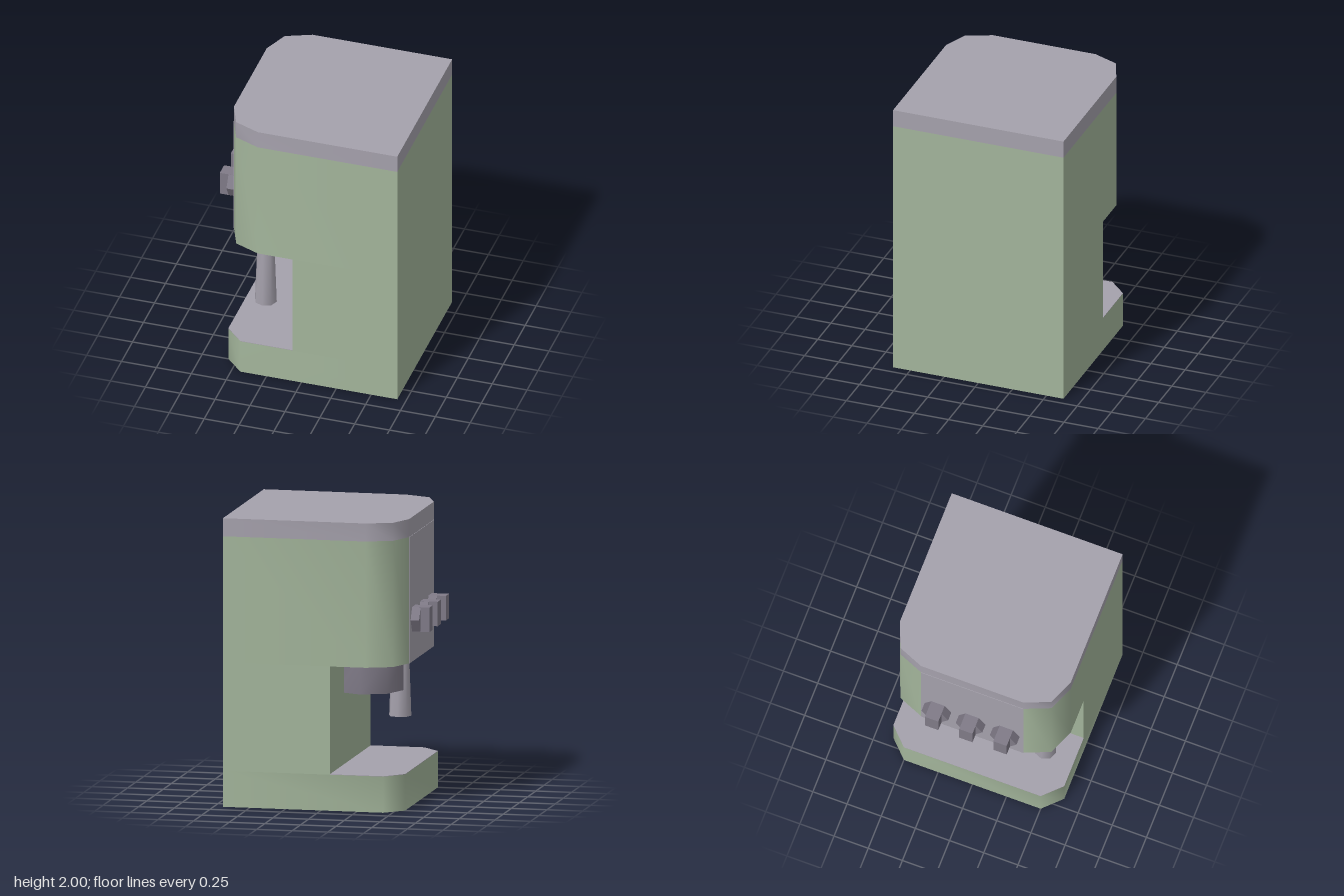
import * as THREE from 'three';
import { toCreasedNormals } from 'three/addons/utils/BufferGeometryUtils.js';

const material = (name, color) => {
  const m = new THREE.MeshStandardMaterial({ color });
  m.name = name;
  return m;
};

export function createModel() {
  const green = material('sage green', 0xa3b59b);
  const grey = material('light grey', 0xa5a1ac);
  const dark = material('dark grey', 0x807b88);

  const model = new THREE.Group();
  model.name = 'coffeeMachine';

  const add = (name, geometry, mat, x = 0, y = 0, z = 0, parent = model) => {
    const mesh = new THREE.Mesh(toCreasedNormals(geometry, 0.9), mat);
    mesh.name = name;
    mesh.position.set(x, y, z);
    parent.add(mesh);
    return mesh;
  };

  // Upright prism from half an outline (x, z), mirrored across z = 0
  const prism = (half, height) => {
    const mirrored = half.map(([x, z]) => [x, -z]).reverse();
    const shape = new THREE.Shape([...half, ...mirrored].map(([x, z]) => new THREE.Vector2(x, z)));
    return new THREE.ExtrudeGeometry(shape, { depth: height, bevelEnabled: false }).rotateX(-Math.PI / 2);
  };

  const W = 0.625, front = -0.5625, back = 0.6875, columnFront = -0.0625;
  const headOutline = [[back, W], [-0.3125, W], [-0.49, 0.552], [front, 0.375]];
  const baseOutline = [[back, W], [-0.4375, W], [front, 0.5]];
  const trayOutline = [[columnFront, W], [-0.4375, W], [front, 0.5]];

  // Body: base, column, overhanging head and lid
  add('base', prism(baseOutline, 0.25), green);
  add('dripTray', prism(trayOutline, 0.003), grey, 0, 0.25);
  add('column', new THREE.BoxGeometry(back - columnFront, 0.75, 2 * W), green, (back + columnFront) / 2, 0.625);
  add('head', prism(headOutline, 0.875), green, 0, 1);
  add('lid', prism(headOutline, 0.125), grey, 0, 1.875);
  add('frontPanel', new THREE.BoxGeometry(0.004, 0.875, 0.75), grey, front - 0.001, 1.4375);

  // Brew group below the head, with the steam wand beside it
  add('brewGroup', new THREE.CylinderGeometry(0.25, 0.25, 0.25, 8), dark, -0.1875, 0.875);
  add('steamWand', new THREE.CylinderGeometry(0.06, 0.078, 0.5, 8), grey, -0.3125, 0.75, 0.44);

  // Three control knobs: hexagonal disc with a grip bar
  for (const z of [-0.25, 0, 0.25]) {
    const knob = new THREE.Group();
    knob.name = 'knob';
    knob.position.set(front, 1.294, z);
    model.add(knob);
    add('knobDisc', new THREE.CylinderGeometry(0.0975, 0.0975, 0.0625, 6).rotateZ(Math.PI / 2), dark, -0.03125, 0, 0, knob);
    add('knobGrip', new THREE.BoxGeometry(0.125, 0.17, 0.0975), dark, -0.0625, 0, 0, knob);
  }
  return model;
}
